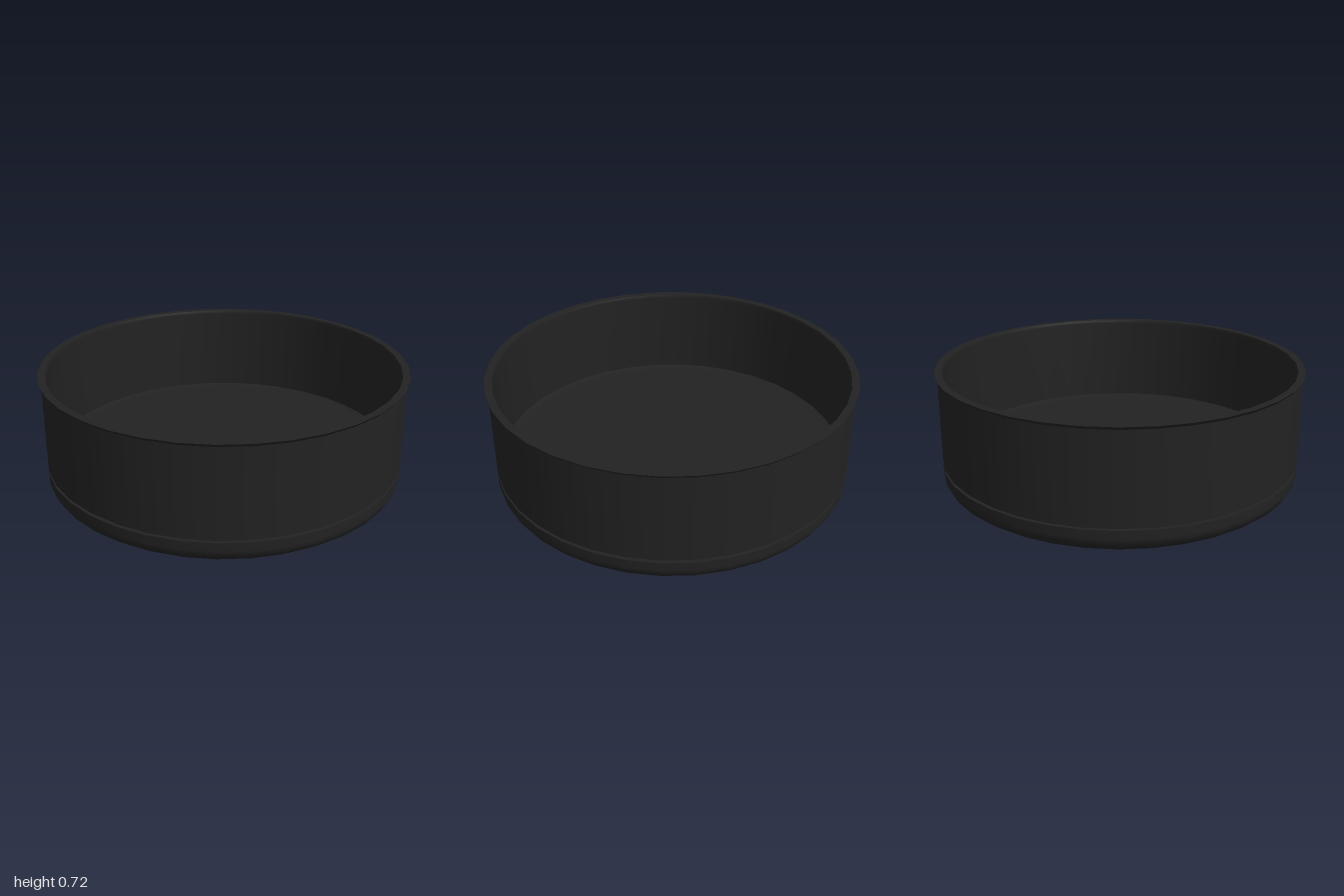
import * as THREE from 'three';

const SIDES = 36;
const dark = new THREE.MeshStandardMaterial({ color: 0x222222 });

// Surface of revolution; separate bands keep the edges between them sharp
function band(name, points) {
  const profile = points.map(([r, y]) => new THREE.Vector2(r, y));
  const mesh = new THREE.Mesh(new THREE.LatheGeometry(profile, SIDES), dark);
  mesh.name = name;
  return mesh;
}

export function createModel() {
  const dish = new THREE.Group();
  dish.name = 'roundDish';

  // Rounded base and the shallow groove above it
  dish.add(
    band('underside', [[0, 0], [0.71, 0]]),
    band('roundedBase', [[0.71, 0], [0.76, 0.006], [0.81, 0.02], [0.87, 0.042], [0.925, 0.07], [0.965, 0.1], [0.982, 0.13], [0.985, 0.15], [0.985, 0.198]]),
    band('grooveFloor', [[0.985, 0.198], [0.965, 0.198]]),
    band('grooveWall', [[0.965, 0.198], [0.965, 0.216]]),
    band('grooveCeiling', [[0.965, 0.216], [0.985, 0.216]])
  );

  // Upright wall with a flared lip
  dish.add(
    band('outerWall', [[0.985, 0.216], [0.985, 0.7]]),
    band('lipFlare', [[0.985, 0.7], [1, 0.718]]),
    band('rimTop', [[1, 0.718], [0.96, 0.718]])
  );

  // Inside of the dish
  dish.add(
    band('innerWall', [[0.96, 0.718], [0.955, 0.7], [0.955, 0.22]]),
    band('innerFloor', [[0.955, 0.22], [0.93, 0.213], [0.9, 0.21], [0, 0.21]])
  );

  return dish;
}
